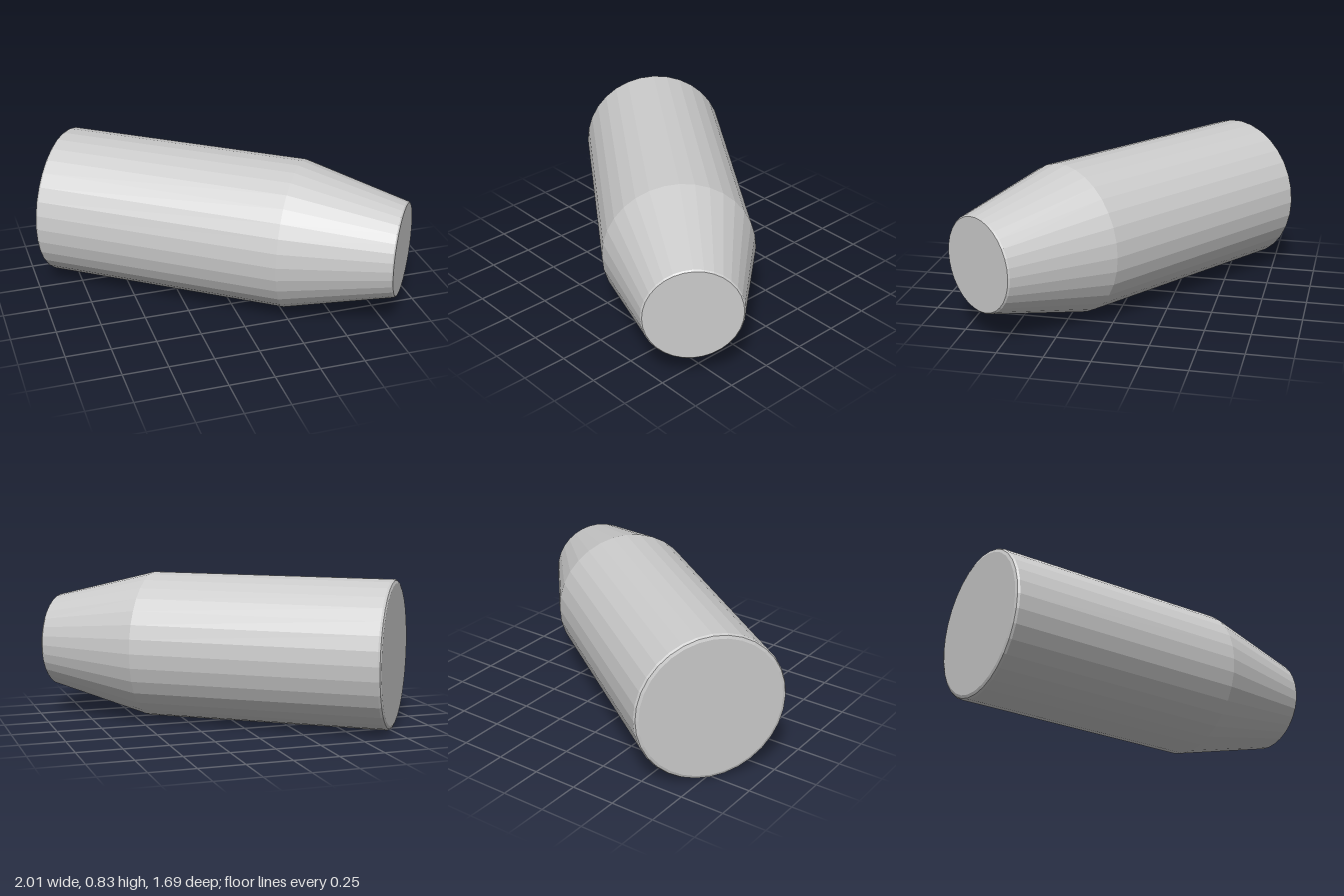
import * as THREE from 'three';

export function createModel() {
  const model = new THREE.Group();
  const material = new THREE.MeshStandardMaterial({ color: 0xcccccc, flatShading: true });

  // Half profile [radius, distance along the axis], from the wide end to the narrow end
  const profile = [
    [0, -0.018], [0.392, -0.018], [0.408, -0.012], [0.415, 0], // wide end with softened rim
    [0.415, 1.378],                                             // straight body up to the shoulder
    [0.265, 1.968], [0.257, 1.976], [0, 1.976],                 // taper, small rim and narrow end
  ].map(([r, d]) => new THREE.Vector2(r, d));

  // Lay the turned shape on its side and swing it towards the front left
  const geometry = new THREE.LatheGeometry(profile, 32);
  geometry.rotateZ(-Math.PI / 2);
  geometry.rotateY(-THREE.MathUtils.degToRad(35.35));

  const body = new THREE.Mesh(geometry, material);
  body.name = 'taperedCylinderBody';
  body.position.set(-0.76, 0.415, -0.51);
  model.add(body);
  return model;
}
